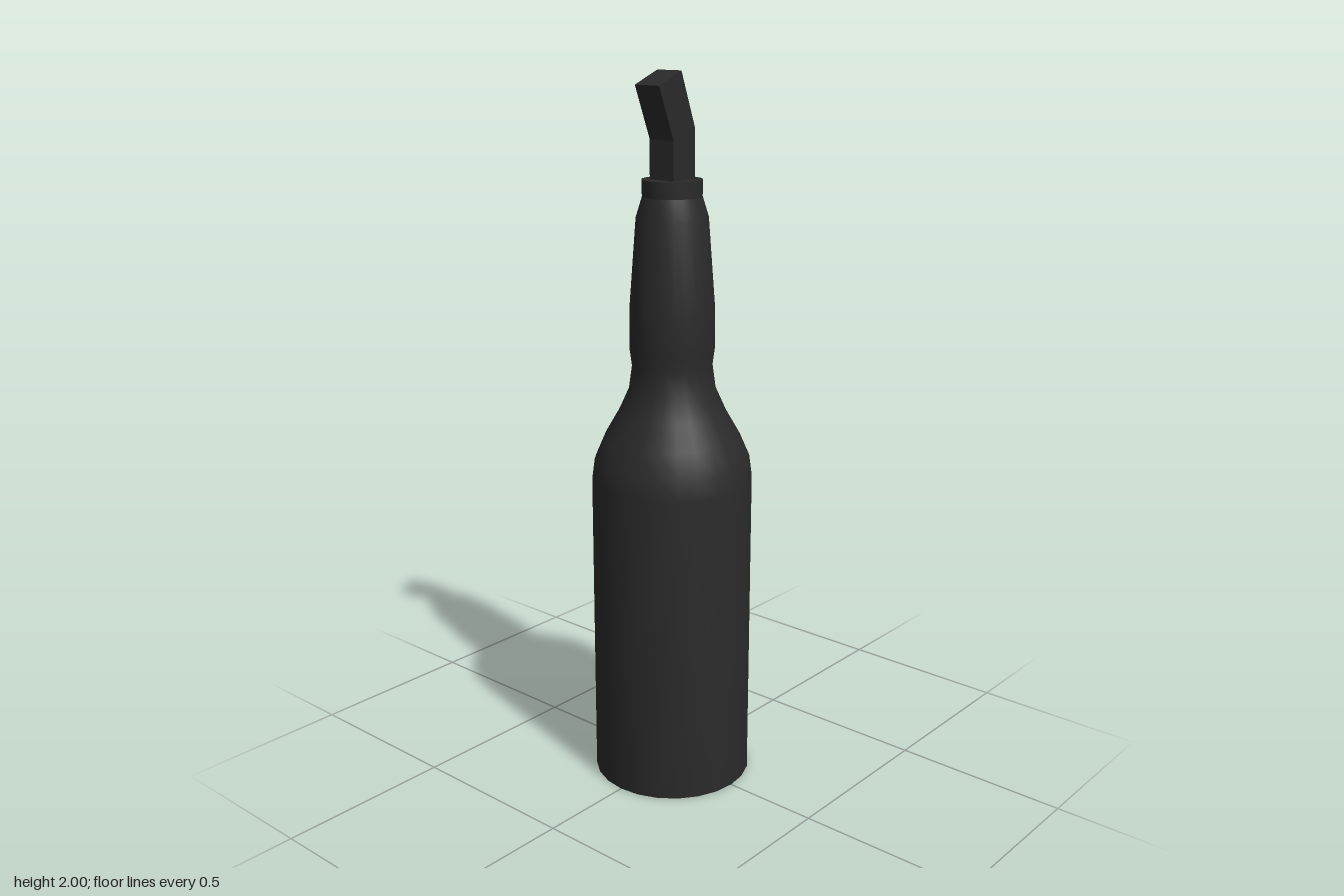
import * as THREE from 'three';
import { toCreasedNormals } from 'three/addons/utils/BufferGeometryUtils.js';

const SIDES = 24;
const material = new THREE.MeshStandardMaterial({ color: 0x2a2a2a });

function part(name, geometry) {
  const mesh = new THREE.Mesh(geometry, material);
  mesh.name = name;
  return mesh;
}

// Revolved part with smooth sides and sharp rims
function turned(name, profile) {
  const points = profile.map(([r, y]) => new THREE.Vector2(r, y));
  return part(name, toCreasedNormals(new THREE.LatheGeometry(points, SIDES), 0.7));
}

export function createModel() {
  const model = new THREE.Group();
  model.name = 'bottle';

  // Glass body: straight base, rounded shoulder and slightly swollen neck
  model.add(turned('bottleBody', [
    [0, 0], [0.225, 0], [0.225, 0.89], [0.217, 0.95], [0.189, 1.015],
    [0.149, 1.085], [0.12, 1.15], [0.111, 1.215], [0.117, 1.26], [0.117, 1.37],
    [0.098, 1.62], [0.081, 1.675],
  ]));

  // Collar around the mouth, closed on top
  model.add(turned('mouthCollar', [[0.081, 1.675], [0.082, 1.72], [0, 1.72]]));

  // Bent cloth wick, leaning towards the front (outline in z, y)
  const outline = new THREE.Shape([
    [-0.043, 1.71], [0.043, 1.71], [0.043, 1.825],
    [0.099, 1.965], [0.012, 2], [-0.043, 1.853],
  ].map(([z, y]) => new THREE.Vector2(z, y)));
  const width = 0.083;
  const wick = new THREE.ExtrudeGeometry(outline, { depth: width, bevelEnabled: false });
  wick.rotateY(-Math.PI / 2).translate(width / 2, 0, 0);
  model.add(part('wick', wick));

  return model;
}
